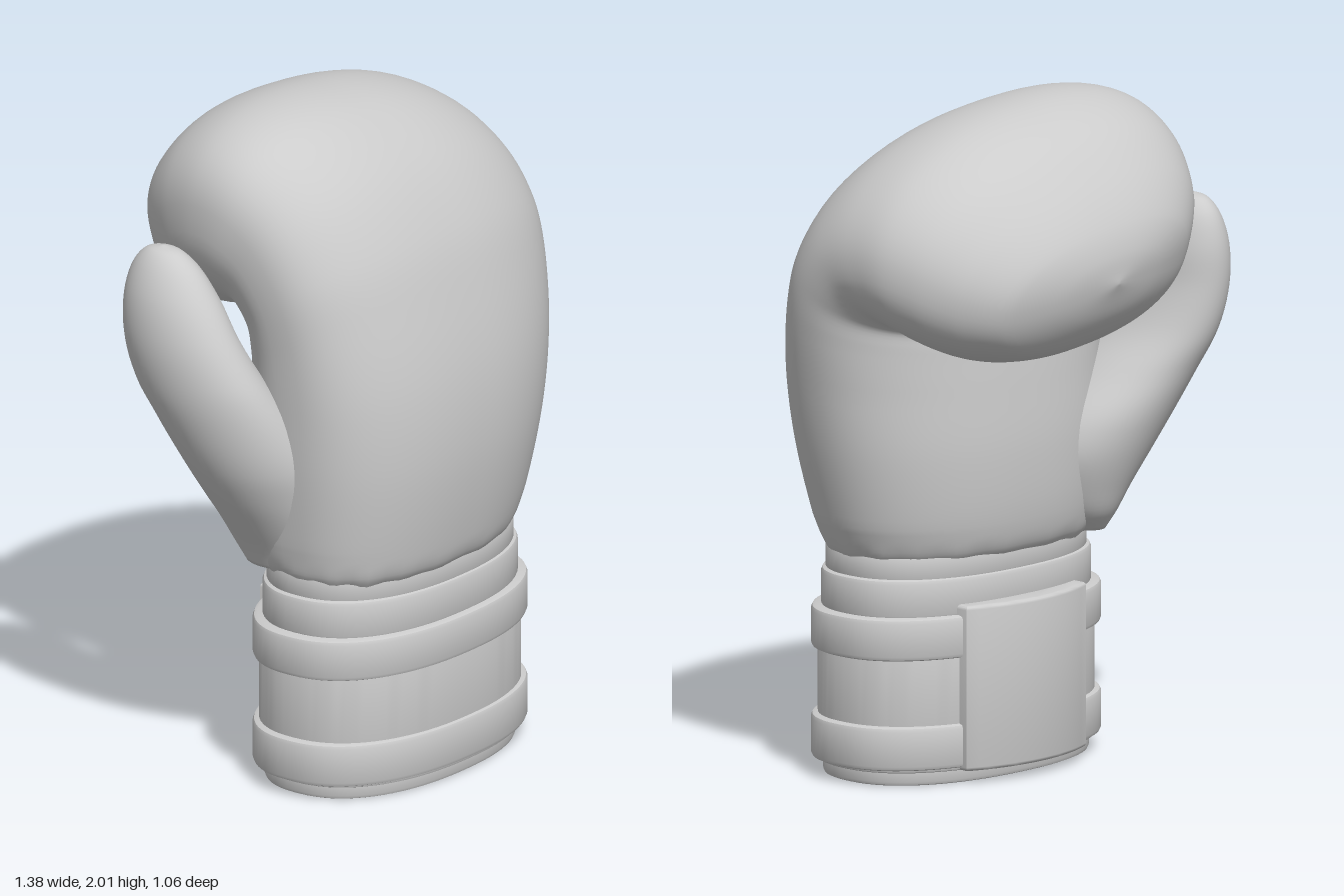
import * as THREE from 'three';
import { toCreasedNormals } from 'three/addons/utils/BufferGeometryUtils.js';

const V = (x, y, z) => new THREE.Vector3(x, y, z);
const spow = (v, e) => Math.sign(v) * Math.pow(Math.abs(v), 2 / e);
const material = new THREE.MeshStandardMaterial({ color: 0xcccccc, roughness: 0.7 });

// Skin over closed rings of equal length, with both ends capped
function skin(rings) {
  const n = rings[0].length, pos = [], index = [];
  rings.forEach(r => r.forEach(p => pos.push(p.x, p.y, p.z)));
  for (let i = 0; i < rings.length - 1; i++) {
    for (let j = 0; j < n; j++) {
      const a = i * n + j, b = i * n + (j + 1) % n;
      index.push(a, a + n, b, b, a + n, b + n);
    }
  }
  [0, rings.length - 1].forEach((r, end) => {
    const c = rings[r].reduce((s, p) => s.add(p), V(0, 0, 0)).divideScalar(n);
    const k = pos.length / 3;
    pos.push(c.x, c.y, c.z);
    for (let j = 0; j < n; j++) {
      const a = r * n + j, b = r * n + (j + 1) % n;
      end ? index.push(k, b, a) : index.push(k, a, b);
    }
  });
  const g = new THREE.BufferGeometry();
  g.setAttribute('position', new THREE.Float32BufferAttribute(pos, 3));
  g.setIndex(index);
  g.computeVertexNormals();
  return g;
}

// Rounded cross-section: centre, half axes across and deep, squareness on each side
function ring(c, across, deep, eLeft, eRight, n = 72, ripple = 0) {
  return Array.from({ length: n }, (_, j) => {
    const t = j / n * Math.PI * 2, cs = Math.cos(t), e = cs > 0 ? eLeft : eRight;
    const k = 1 + ripple * (Math.cos(18 * t) + 0.5 * Math.sin(11 * t));
    return c.clone().addScaledVector(across, k * spow(cs, e))
      .addScaledVector(deep, k * spow(Math.sin(t), e));
  });
}

function add(group, name, geometry) {
  const m = new THREE.Mesh(geometry, material);
  m.name = name;
  group.add(m);
}

// Padded mitt: back-of-hand line, palm line and width, followed around the curl
function mittGeometry() {
  const rows = [ // outer z, y, inner z, y, x min, x max
    [0.45, 0.64, -0.05, 0.64, -0.405, 0.435],
    [0.48, 0.68, -0.083, 0.68, -0.428, 0.47],
    [0.503, 0.77, -0.105, 0.76, -0.445, 0.51],
    [0.53, 1.00, -0.115, 0.96, -0.465, 0.57],
    [0.52, 1.22, -0.10, 1.15, -0.475, 0.615],
    [0.47, 1.45, -0.085, 1.28, -0.485, 0.65],
    [0.40, 1.65, -0.08, 1.335, -0.50, 0.665],
    [0.27, 1.84, -0.095, 1.345, -0.515, 0.675],
    [0.09, 1.965, -0.13, 1.33, -0.525, 0.685],
    [-0.11, 1.993, -0.17, 1.31, -0.505, 0.685],
    [-0.29, 1.93, -0.22, 1.295, -0.46, 0.65],
    [-0.42, 1.81, -0.29, 1.295, -0.39, 0.58],
    [-0.50, 1.69, -0.39, 1.325, -0.27, 0.47],
    [-0.526, 1.61, -0.475, 1.41, -0.11, 0.30],
    [-0.53, 1.535, -0.529, 1.52, 0.08, 0.10],
  ];
  const curve = f => new THREE.CatmullRomCurve3(rows.map(f));
  const outer = curve(r => V(0, r[1], r[0]));
  const inner = curve(r => V(0, r[3], r[2]));
  const width = curve((r, i) => V(r[4], r[5], i * 0.1));
  const rings = [], N = 84;
  for (let i = 0; i <= N; i++) {
    const t = i / N, o = outer.getPoint(t), p = inner.getPoint(t), w = width.getPoint(t);
    const half = (w.y - w.x) / 2;
    const c = o.clone().add(p).multiplyScalar(0.5).setX((w.x + w.y) / 2);
    const deep = o.sub(p).multiplyScalar(0.5);
    // the knuckles slope down towards the outer side of the hand
    const slope = -0.115 * half * THREE.MathUtils.smoothstep(t, 0.35, 0.62);
    const ripple = 0.011 * Math.max(0, 1 - i / 9);
    rings.push(ring(c, V(half, slope, 0), deep, 2.15, 2.45, 80, ripple));
  }
  return skin(rings);
}

// Thumb: broad at the palm, rounded at the tip
function thumbGeometry() {
  const rows = [ // y, x min, x max, z min, z max
    [0.66, -0.40, -0.27, -0.04, 0.16],
    [0.72, -0.43, -0.20, -0.09, 0.21],
    [0.80, -0.48, -0.155, -0.125, 0.235],
    [0.90, -0.545, -0.135, -0.165, 0.245],
    [1.00, -0.60, -0.17, -0.20, 0.24],
    [1.13, -0.65, -0.285, -0.24, 0.20],
    [1.25, -0.68, -0.385, -0.28, 0.15],
    [1.38, -0.69, -0.44, -0.30, 0.08],
    [1.50, -0.675, -0.46, -0.30, 0.01],
    [1.59, -0.64, -0.49, -0.275, -0.06],
    [1.635, -0.605, -0.525, -0.235, -0.12],
    [1.648, -0.57, -0.56, -0.185, -0.175],
  ];
  const xs = new THREE.CatmullRomCurve3(rows.map(r => V(r[1], r[0], r[2])));
  const zs = new THREE.CatmullRomCurve3(rows.map(r => V(r[3], r[0], r[4])));
  const rings = [], N = 55;
  for (let i = 0; i <= N; i++) {
    const a = xs.getPoint(i / N), b = zs.getPoint(i / N);
    rings.push(ring(V((a.x + a.z) / 2, a.y, (b.x + b.z) / 2),
      V((a.z - a.x) / 2, 0, 0), V(0, 0, (b.z - b.x) / 2), 2, 2, 48));
  }
  return skin(rings);
}

// Band around the wrist with softened upper and lower edges
function bandGeometry(y0, y1, hx, hz, soft) {
  const steps = [[y0, soft], [y0 + soft * 0.3, soft * 0.3], [y0 + soft, 0],
    [y1 - soft, 0], [y1 - soft * 0.3, soft * 0.3], [y1, soft]];
  return toCreasedNormals(skin(steps.map(([y, inset]) =>
    ring(V(0.02, y, 0.2), V(hx - inset, 0, 0), V(0, 0, hz - inset), 2.3, 2.3))), 0.75);
}

// Curved closure flap on the palm side of the wrist
function flapGeometry() {
  const arc = (hx, hz, half) => Array.from({ length: 17 }, (_, i) => {
    const x = -half + 2 * half * i / 16;
    return new THREE.Vector2(x + 0.02, hz * Math.sqrt(1 - (x / hx) ** 2) - 0.2);
  });
  const shape = new THREE.Shape([...arc(0.46, 0.25, 0.235), ...arc(0.44, 0.328, 0.235).reverse()]);
  const g = new THREE.ExtrudeGeometry(shape, {
    depth: 0.466, bevelEnabled: true, bevelSize: 0.012, bevelThickness: 0.012, bevelSegments: 3,
  });
  g.rotateX(-Math.PI / 2).translate(0, 0.052, 0);
  return toCreasedNormals(g, 0.75);
}

export function createModel() {
  const glove = new THREE.Group();
  glove.name = 'boxingGlove';
  add(glove, 'mitt', mittGeometry());
  add(glove, 'thumb', thumbGeometry());

  // Wrist cuff from the base rim up to the collar
  const cuff = new THREE.Group();
  cuff.name = 'cuff';
  [
    ['baseRim', 0, 0.07, 0.45, 0.272, 0.012],
    ['lowerStrap', 0.05, 0.18, 0.49, 0.3, 0.014],
    ['cuffWall', 0.04, 0.5, 0.465, 0.288, 0.01],
    ['upperStrap', 0.375, 0.5, 0.49, 0.3, 0.014],
    ['neckBand', 0.49, 0.61, 0.457, 0.277, 0.014],
    ['collar', 0.6, 0.68, 0.442, 0.268, 0.012],
  ].forEach(([name, ...dims]) => add(cuff, name, bandGeometry(...dims)));
  add(cuff, 'closureFlap', flapGeometry());
  glove.add(cuff);
  return glove;
}
